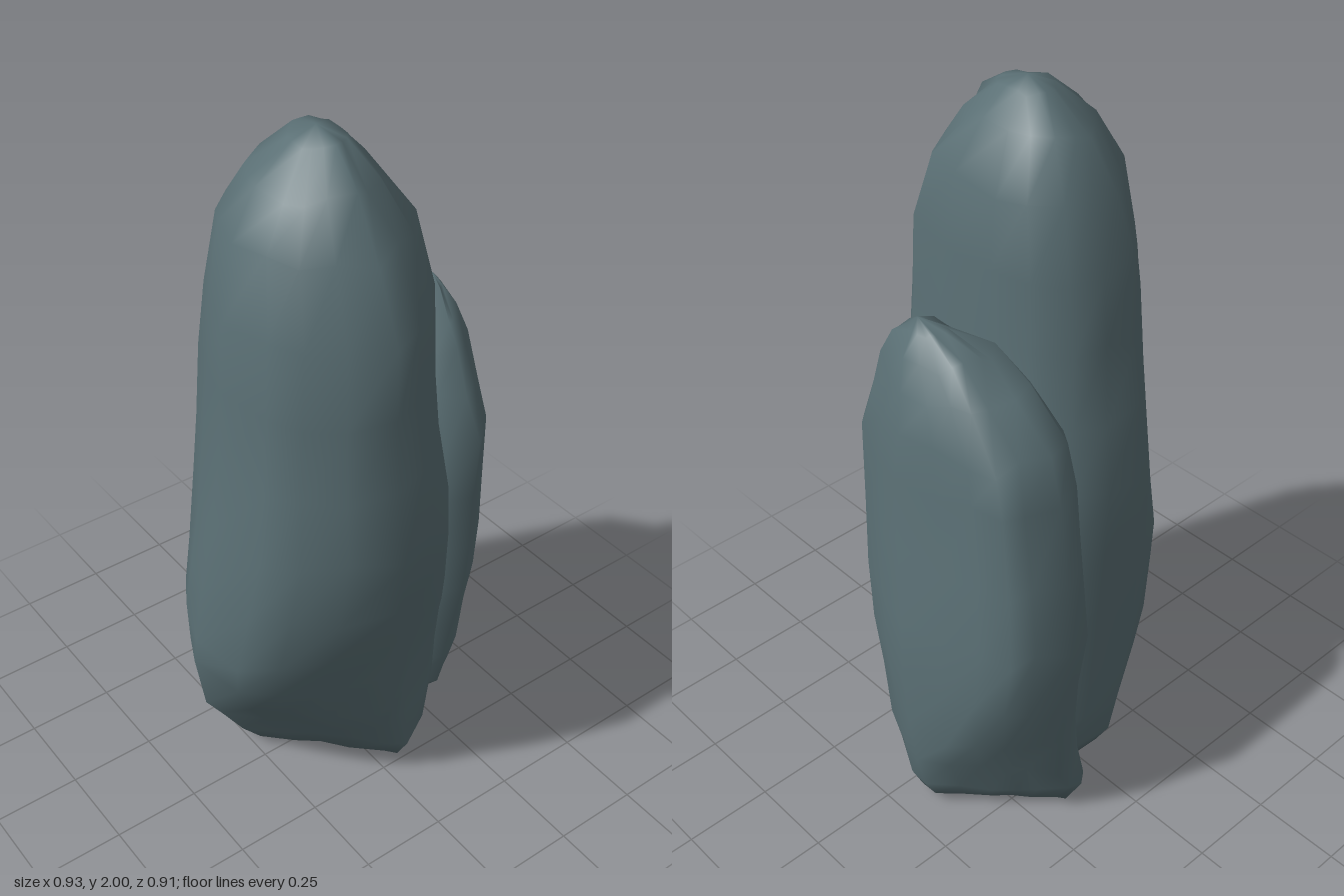
import * as THREE from 'three';

const stone = new THREE.MeshStandardMaterial({ color: 0x5a6f74 });
stone.name = 'slate stone';

function seeded(seed) {
  return () => (seed = (seed * 16807) % 2147483647) / 2147483647 - 0.5;
}

// Lofts an outline [x, z] through levels [y, xMin, xMax, zMin, zMax, chamfer].
// The chamfer limits how far a level reaches along the diagonal (side, -side).
function rock(name, outline, levels, side, top, bottom, seed) {
  const rnd = seeded(seed);
  const xs = outline.map(p => p[0]), zs = outline.map(p => p[1]);
  const x0 = Math.min(...xs), z0 = Math.min(...zs);
  const w = Math.max(...xs) - x0, d = Math.max(...zs) - z0;
  const n = outline.length, pos = [], idx = [];

  levels.forEach(([y, xa, xb, za, zb, limit = 9], i) => {
    const edge = i === 0 || i === levels.length - 1;
    for (const [ox, oz] of outline) {
      let x = xa + (ox - x0) / w * (xb - xa);
      let z = za + (oz - z0) / d * (zb - za);
      const over = Math.max(0, side * (x - z) - limit) / 2;
      x -= side * over;
      z += side * over;
      // Slight unevenness of the weathered surface
      pos.push(x + rnd() * 0.008, y + rnd() * (edge ? 0.015 : 0.04), z + rnd() * 0.008);
    }
  });
  for (let i = 0; i < levels.length - 1; i++) {
    for (let j = 0; j < n; j++) {
      const a = i * n + j, b = i * n + (j + 1) % n;
      idx.push(a, b, b + n, a, b + n, a + n);
    }
  }
  // Close the crown and the underside
  const last = (levels.length - 1) * n, crown = pos.length / 3;
  pos.push(...top, ...bottom);
  for (let j = 0; j < n; j++) {
    const k = (j + 1) % n;
    idx.push(last + j, last + k, crown, k, j, crown + 1);
  }
  const geo = new THREE.BufferGeometry();
  geo.setAttribute('position', new THREE.Float32BufferAttribute(pos, 3));
  geo.setIndex(idx);
  geo.computeVertexNormals();
  const mesh = new THREE.Mesh(geo, stone);
  mesh.name = name;
  return mesh;
}

export function createModel() {
  const group = new THREE.Group();
  group.name = 'standingRocks';

  // Tall rock: deeply undercut at its front outer corner
  group.add(rock('tallRock',
    [[0, -0.32], [-0.13, -0.33], [-0.25, -0.25], [-0.37, -0.16], [-0.42, -0.07], [-0.47, 0.06],
      [-0.44, 0.24], [-0.36, 0.32], [-0.25, 0.39], [-0.1, 0.455], [0.03, 0.41], [0.15, 0.36],
      [0.23, 0.28], [0.27, 0.12], [0.26, -0.08], [0.22, -0.2], [0.13, -0.29]],
    [[0.035, -0.28, 0.2, -0.28, 0.285, 0.2], [0.1, -0.335, 0.25, -0.32, 0.31, 0.25],
      [0.22, -0.385, 0.275, -0.33, 0.305, 0.34], [0.34, -0.43, 0.28, -0.33, 0.315, 0.46],
      [0.5, -0.465, 0.28, -0.33, 0.34, 0.62], [0.62, -0.47, 0.27, -0.33, 0.375, 0.66],
      [0.8, -0.455, 0.235, -0.33, 0.425], [1, -0.425, 0.195, -0.325, 0.455],
      [1.2, -0.4, 0.16, -0.3, 0.435], [1.4, -0.385, 0.14, -0.275, 0.415],
      [1.6, -0.37, 0.13, -0.26, 0.405], [1.78, -0.325, 0.11, -0.215, 0.32],
      [1.9, -0.25, 0.035, -0.13, 0.235], [1.98, -0.155, -0.025, -0.03, 0.13]],
    -1, [-0.085, 2, 0.05], [0, 0.06, 0], 71));

  // Short rock: leaning slab, with a foot at the inner back corner
  group.add(rock('shortRock',
    [[0.22, -0.455], [0.13, -0.425], [0.07, -0.36], [0.06, -0.28], [0.11, -0.19], [0.13, -0.08],
      [0.13, 0.05], [0.15, 0.15], [0.2, 0.24], [0.28, 0.29], [0.34, 0.25], [0.39, 0.21],
      [0.45, 0.07], [0.47, -0.03], [0.46, -0.19], [0.42, -0.3], [0.39, -0.395], [0.32, -0.415]],
    [[0.035, 0.13, 0.43, -0.42, 0.09, 0.53], [0.1, 0.09, 0.45, -0.455, 0.145, 0.56],
      [0.2, 0.09, 0.46, -0.425, 0.16, 0.61], [0.35, 0.09, 0.465, -0.42, 0.185, 0.69],
      [0.52, 0.09, 0.465, -0.435, 0.225], [0.7, 0.08, 0.455, -0.45, 0.25],
      [0.9, 0.07, 0.43, -0.415, 0.275], [1.1, 0.06, 0.405, -0.37, 0.295],
      [1.23, 0.07, 0.395, -0.335, 0.245], [1.34, 0.1, 0.365, -0.22, 0.2],
      [1.41, 0.14, 0.335, -0.12, 0.155], [1.465, 0.22, 0.305, -0.02, 0.09]],
    1, [0.275, 1.49, 0.05], [0.28, 0, -0.02], 1234));

  return group;
}
